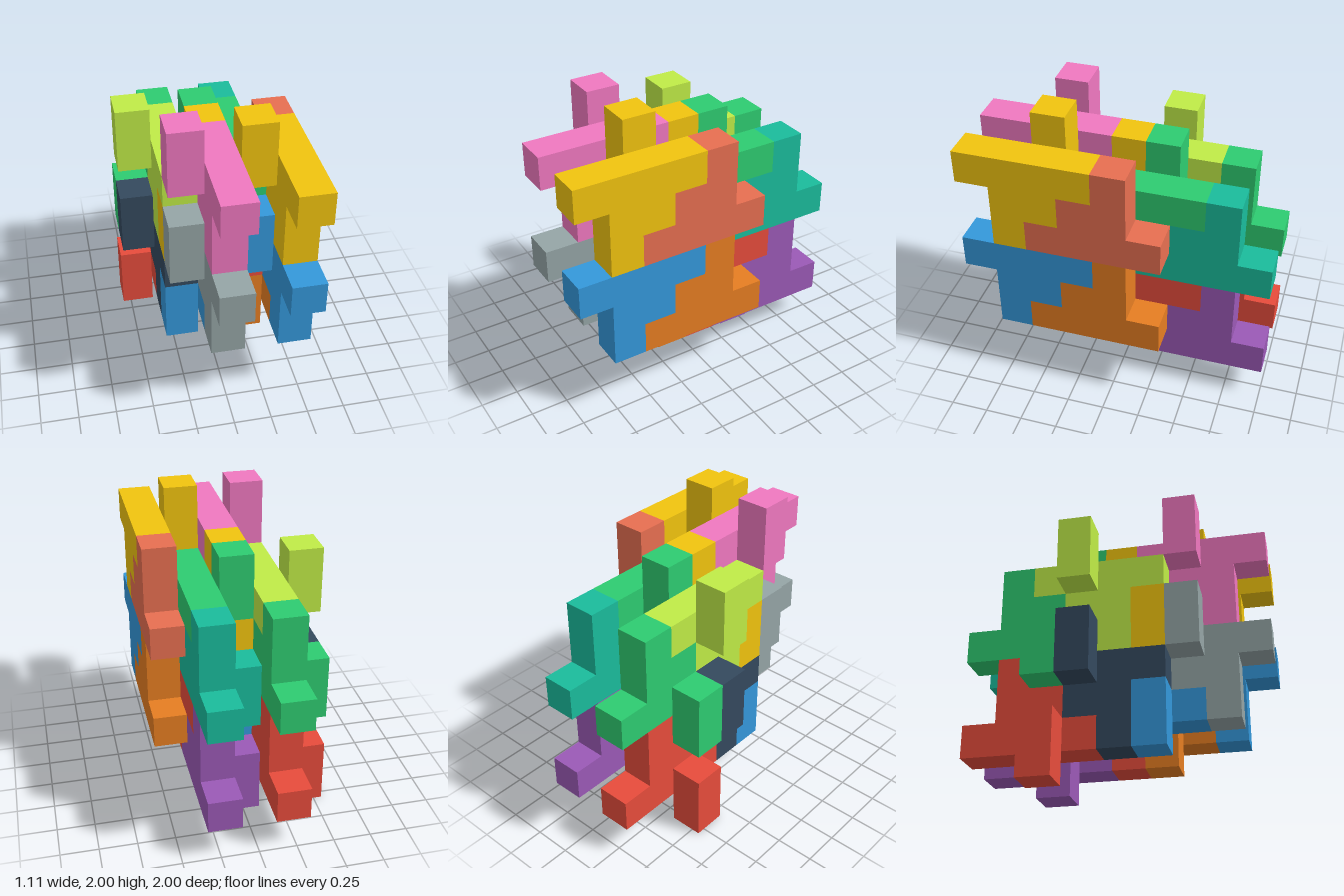
import * as THREE from 'three';

const CELL = 2 / 9;

// Stepped plate, one cell thick: outline points are [z, y] in cells around the peg cell
const OUTLINE = [
  [-1.5, 0.5], [2.5, 0.5], [2.5, -0.5], [1.5, -0.5], [1.5, -2.5],
  [0.5, -2.5], [0.5, -1.5], [-0.5, -1.5], [-0.5, -0.5], [-1.5, -0.5],
];

// Each layer (from the model's left to its right): upper and lower pair of interlocked pieces
const LAYERS = [
  { x: 4, y: 7, z: 6, colors: [0xf1c40f, 0xe76f51, 0x3498db, 0xe67e22] },
  { x: 3, y: 6, z: 3, colors: [0x2ecc71, 0x1abc9c, 0xe74c3c, 0x9b59b6] },
  { x: 2, y: 7, z: 6, colors: [0xf078c0, 0xf1c40f, 0x95a5a6, 0x3498db] },
  { x: 1, y: 6, z: 3, colors: [0xc0ec47, 0x2ecc71, 0x34495e, 0xe74c3c] },
];

function plateGeometry() {
  const shape = new THREE.Shape(OUTLINE.map(([z, y]) => new THREE.Vector2(-z, y)));
  const geometry = new THREE.ExtrudeGeometry(shape, { depth: 1, bevelEnabled: false });
  return geometry.translate(0, 0, -0.5).rotateY(Math.PI / 2);
}

export function createModel() {
  const model = new THREE.Group();
  model.name = 'interlockingBlockStack';
  const plateGeo = plateGeometry();
  // Peg: two cells tall, standing in the next layer towards -x
  const pegGeo = new THREE.BoxGeometry(1, 2, 1).translate(-1, 0.5, 0);

  function addPiece(name, x, y, z, color, flipped) {
    const piece = new THREE.Group();
    piece.name = name;
    const material = new THREE.MeshStandardMaterial({ color });
    const plate = new THREE.Mesh(plateGeo, material);
    plate.name = 'steppedPlate';
    const peg = new THREE.Mesh(pegGeo, material);
    peg.name = 'peg';
    piece.add(plate, peg);
    piece.scale.setScalar(CELL);
    piece.position.set((x - 2) * CELL, (y + 0.5) * CELL, (z - 4) * CELL);
    if (flipped) piece.rotation.x = Math.PI;
    model.add(piece);
  }

  LAYERS.forEach(({ x, y, z, colors }, layer) => {
    for (let row = 0; row < 2; row++) {
      const top = y - 3 * row;
      const label = `Layer${layer + 1}Row${row + 1}`;
      addPiece(`uprightPiece${label}`, x, top, z, colors[2 * row], false);
      // Its partner is turned half round and nests into the steps
      addPiece(`turnedPiece${label}`, x, top - 2, z - 1, colors[2 * row + 1], true);
    }
  });
  return model;
}
